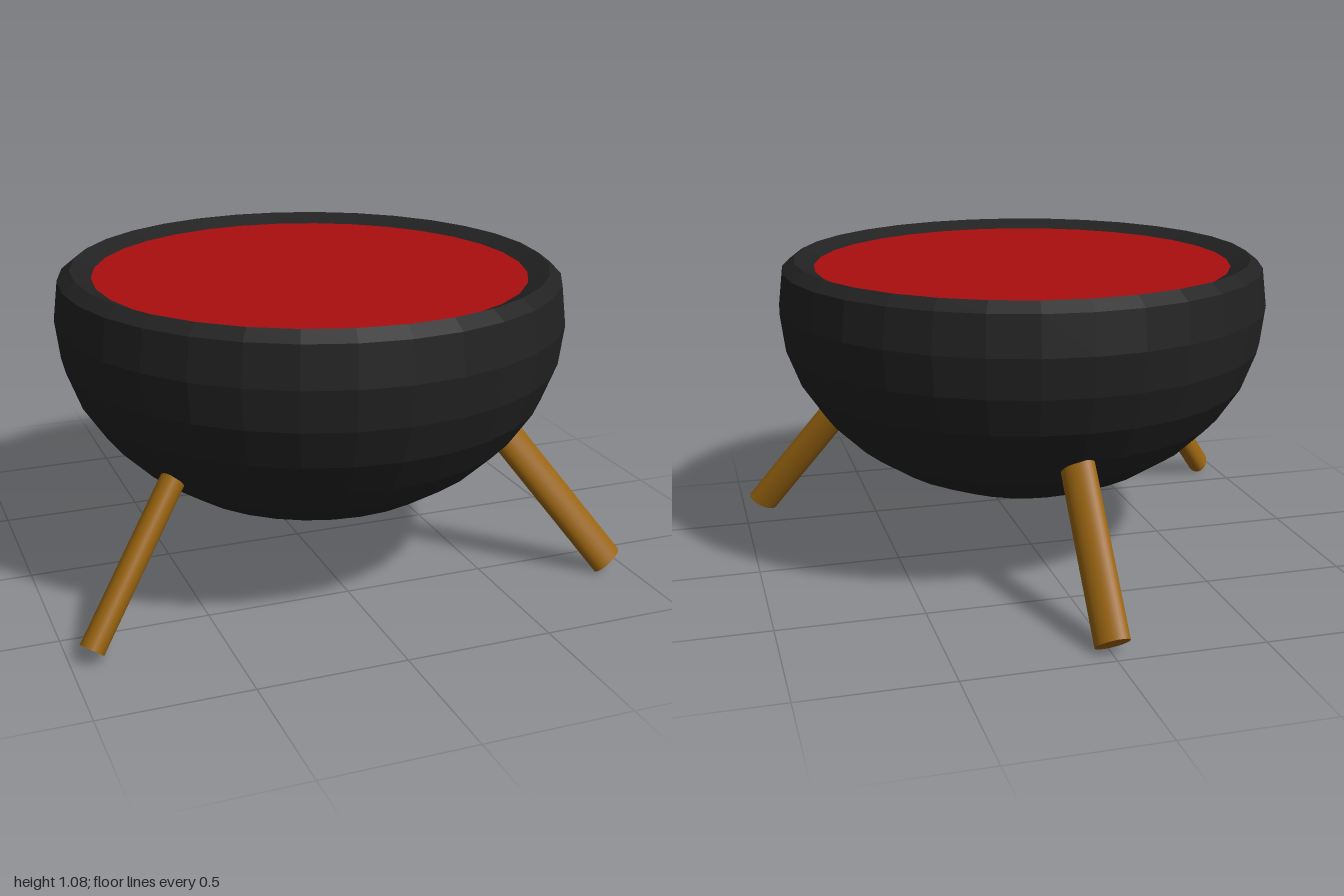
import * as THREE from 'three';

const BOWL_Z = 0.12;      // bowl axis sits forward of the back leg
const SIDES = 32;

export function createModel() {
  const black = new THREE.MeshStandardMaterial({ color: 0x222222, flatShading: true });
  black.name = 'black shell';
  const red = new THREE.MeshStandardMaterial({ color: 0xaa0e0e });
  red.name = 'red';
  const wood = new THREE.MeshStandardMaterial({ color: 0x9a6511 });
  wood.name = 'brown wood';

  const model = new THREE.Group();
  model.name = 'bowlOnThreeLegs';

  const add = (name, geometry, material, parent = model) => {
    const mesh = new THREE.Mesh(geometry, material);
    mesh.name = name;
    parent.add(mesh);
    return mesh;
  };

  // Faceted half-ellipsoid bowl with a bevelled rim sloping in to the surface
  const profile = [];
  for (let k = -8; k <= 1; k++) {
    const a = (k * Math.PI) / 16;
    profile.push(new THREE.Vector2(k === -8 ? 0 : 0.875 * Math.cos(a), 0.91 + 0.7 * Math.sin(a)));
  }
  profile.push(new THREE.Vector2(0.815, 1.08), new THREE.Vector2(0.745, 1.05));
  add('bowl', new THREE.LatheGeometry(profile, SIDES), black).position.z = BOWL_Z;

  // Flat red top, slightly below the rim
  const top = new THREE.CircleGeometry(0.745, SIDES).rotateX(-Math.PI / 2);
  add('redTop', top, red).position.set(0, 1.05, BOWL_Z);

  // Splayed oval legs, repeated around the bowl axis
  const foot = new THREE.Vector2(1.07, 0.037);   // radius, height
  const head = new THREE.Vector2(0.69, 0.495);
  const legGeometry = new THREE.CylinderGeometry(1, 1, foot.distanceTo(head), SIDES)
    .scale(0.062, 1, 0.042)
    .rotateY(-Math.PI / 4)
    .rotateX(-Math.atan2(foot.x - head.x, head.y - foot.y))
    .translate(0, (foot.y + head.y) / 2, (foot.x + head.x) / 2);
  const legs = new THREE.Group();
  legs.name = 'legs';
  legs.position.z = BOWL_Z;
  model.add(legs);
  [['frontLeftLeg', 60], ['backLeg', 180], ['frontRightLeg', 300]].forEach(([name, degrees]) => {
    add(name, legGeometry, wood, legs).rotation.y = THREE.MathUtils.degToRad(degrees);
  });

  return model;
}
